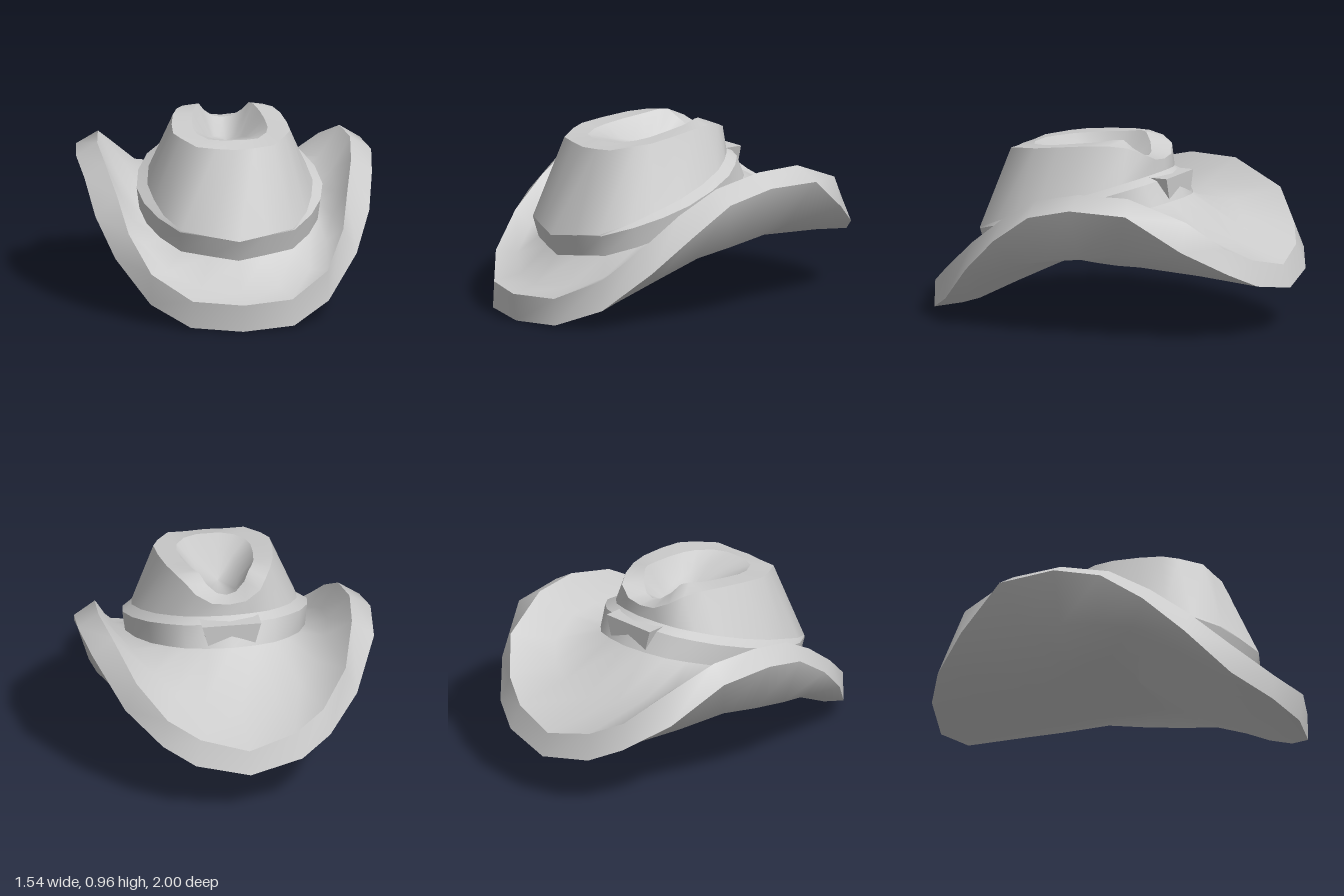
import * as THREE from 'three';

const material = new THREE.MeshStandardMaterial({ color: 0xcccccc, side: THREE.DoubleSide });

// Mirror a half outline (front centre -> left side -> back centre) into a closed ring
const mirror = (half) => [
  ...half,
  ...half.slice(1, -1).reverse().map(([x, y, z]) => [-x, y, z]),
];

// Smooth skin through rings that all have the same number of points
function loft(name, halves) {
  const rings = halves.map(mirror);
  const n = rings[0].length;
  const index = [];
  for (let r = 0; r < rings.length - 1; r++) {
    for (let i = 0; i < n; i++) {
      const j = (i + 1) % n;
      const a = r * n + i, b = r * n + j, c = a + n, d = b + n;
      index.push(a, b, d, a, d, c);
    }
  }
  const geometry = new THREE.BufferGeometry();
  geometry.setAttribute('position', new THREE.Float32BufferAttribute(rings.flat(2), 3));
  geometry.setIndex(index);
  geometry.computeVertexNormals();
  const mesh = new THREE.Mesh(geometry, material);
  mesh.name = name;
  return mesh;
}

// Brim edge: upper and outer lines of the turned-up rim
const rimTop = [
  [0, 0.15, 1], [0.26, 0.16, 0.93], [0.46, 0.27, 0.77], [0.56, 0.44, 0.57],
  [0.6, 0.59, 0.37], [0.64, 0.71, 0.16], [0.66, 0.768, -0.1], [0.63, 0.765, -0.37],
  [0.55, 0.65, -0.67], [0.41, 0.5, -0.82], [0.25, 0.42, -0.91], [0, 0.36, -0.96],
];
const rimOuter = [
  [0, 0.005, 0.98], [0.27, 0.02, 0.93], [0.465, 0.11, 0.77], [0.63, 0.31, 0.57],
  [0.715, 0.49, 0.37], [0.75, 0.64, 0.15], [0.77, 0.7, -0.1], [0.74, 0.69, -0.41],
  [0.61, 0.5, -0.67], [0.44, 0.37, -0.86], [0.28, 0.29, -0.95], [0, 0.24, -1],
];
// Belly of the underside, full at the sides
const belly = [
  [0, 0.03, 0.8], [0.24, 0.05, 0.78], [0.43, 0.13, 0.66], [0.57, 0.26, 0.48],
  [0.65, 0.36, 0.29], [0.68, 0.4, 0.1], [0.67, 0.43, -0.1], [0.63, 0.455, -0.3],
  [0.52, 0.4, -0.52], [0.39, 0.34, -0.67], [0.22, 0.3, -0.75], [0, 0.28, -0.78],
];
// Plan of the hat band, laid on a plane that rises to the back
const bandPlan = [
  [0, 0.755], [0.15, 0.705], [0.3, 0.65], [0.4, 0.51], [0.46, 0.37], [0.485, 0.22],
  [0.46, 0.05], [0.4, -0.1], [0.32, -0.2], [0.24, -0.27], [0.13, -0.31], [0, -0.33],
];
// Outer and inner edges of the crown's top
const crownOuter = [
  [0, 0.872, 0.55], [0.1, 0.876, 0.535], [0.2, 0.885, 0.52], [0.27, 0.905, 0.41],
  [0.305, 0.915, 0.33], [0.3, 0.93, 0.2], [0.28, 0.945, 0.05], [0.25, 0.95, -0.06],
  [0.21, 0.94, -0.16], [0.17, 0.91, -0.23], [0.09, 0.87, -0.265], [0, 0.86, -0.27],
];
const crownInner = [
  [0, 0.9, 0.45], [0.06, 0.9, 0.45], [0.13, 0.9, 0.42], [0.18, 0.91, 0.34],
  [0.195, 0.92, 0.26], [0.19, 0.935, 0.15], [0.175, 0.95, 0.03], [0.15, 0.967, -0.06],
  [0.13, 0.965, -0.1], [0.1, 0.92, -0.14], [0.05, 0.88, -0.17], [0, 0.87, -0.18],
];

const bandHeight = (z) => 0.43 + 0.32 * (0.755 - z);
const keelHeight = (z) => (z > 0.1 ? 0.36 - (z - 0.1) * 0.41 : 0.36 + (z - 0.1) * 0.09);

export function createModel() {
  const hat = new THREE.Group();
  hat.name = 'cowboyHat';

  // The band tapers in below at the front and flares out below at the back
  const bandTop = bandPlan.map(([x, z]) => [x, bandHeight(z), z]);
  const bandBottom = bandPlan.map(([x, z]) => [
    x * 0.97, bandHeight(z) - 0.11, 0.2 + (z - 0.2) * (z > 0.2 ? 0.93 : 1.11),
  ]);

  // Brim: dished top, upright rim and rounded underside
  const dish = rimTop.map((p, i) => {
    const q = bandBottom[i];
    return [(p[0] + q[0]) / 2, (p[1] + q[1]) / 2 - 0.05, (p[2] + q[2]) / 2];
  });
  const keel = belly.map(([x, , z]) => [x * 0.5, keelHeight(z * 0.5), z * 0.5]);
  const keelCentre = belly.map(() => [0, keelHeight(0.1), 0.1]);
  hat.add(loft('brimTop', [rimTop, dish, bandBottom]));
  hat.add(loft('brimRim', [rimOuter, rimTop]));
  hat.add(loft('brimUnderside', [keelCentre, keel, belly, rimOuter]));

  // Hat band with a ledge up to the crown that fades out at the front
  const crownBase = bandTop.map(([x, y, z]) => {
    const ledge = Math.min(1, (0.755 - z) * 2.5);
    return [x * (1 - 0.11 * ledge), y + 0.025 * ledge, 0.755 + (z - 0.755) * 0.955];
  });
  hat.add(loft('hatBand', [bandBottom, bandTop]));
  hat.add(loft('bandLedge', [bandTop, crownBase]));

  // Crown wall, top edge and pinched hollow
  const hollow = crownInner.map(([x, , z]) => [x * 0.55, 0.82 + z * 0.12, 0.14 + (z - 0.14) * 0.62]);
  const hollowCentre = crownInner.map(() => [0, 0.81, 0.1]);
  hat.add(loft('crownWall', [crownBase, crownOuter]));
  hat.add(loft('crownEdge', [crownOuter, crownInner]));
  hat.add(loft('crownHollow', [crownInner, hollow, hollowCentre]));

  // Band knot at the back: a block, slightly narrower below, sunk into the flared band
  const knot = new THREE.BoxGeometry(0.31, 0.14, 0.13);
  const pos = knot.attributes.position;
  for (let i = 0; i < pos.count; i++) {
    if (pos.getY(i) < 0) pos.setX(i, pos.getX(i) * 0.75);
  }
  knot.computeVertexNormals();
  const knotMesh = new THREE.Mesh(knot, material);
  knotMesh.name = 'bandKnot';
  knotMesh.position.set(0, 0.715, -0.295);
  hat.add(knotMesh);

  return hat;
}
